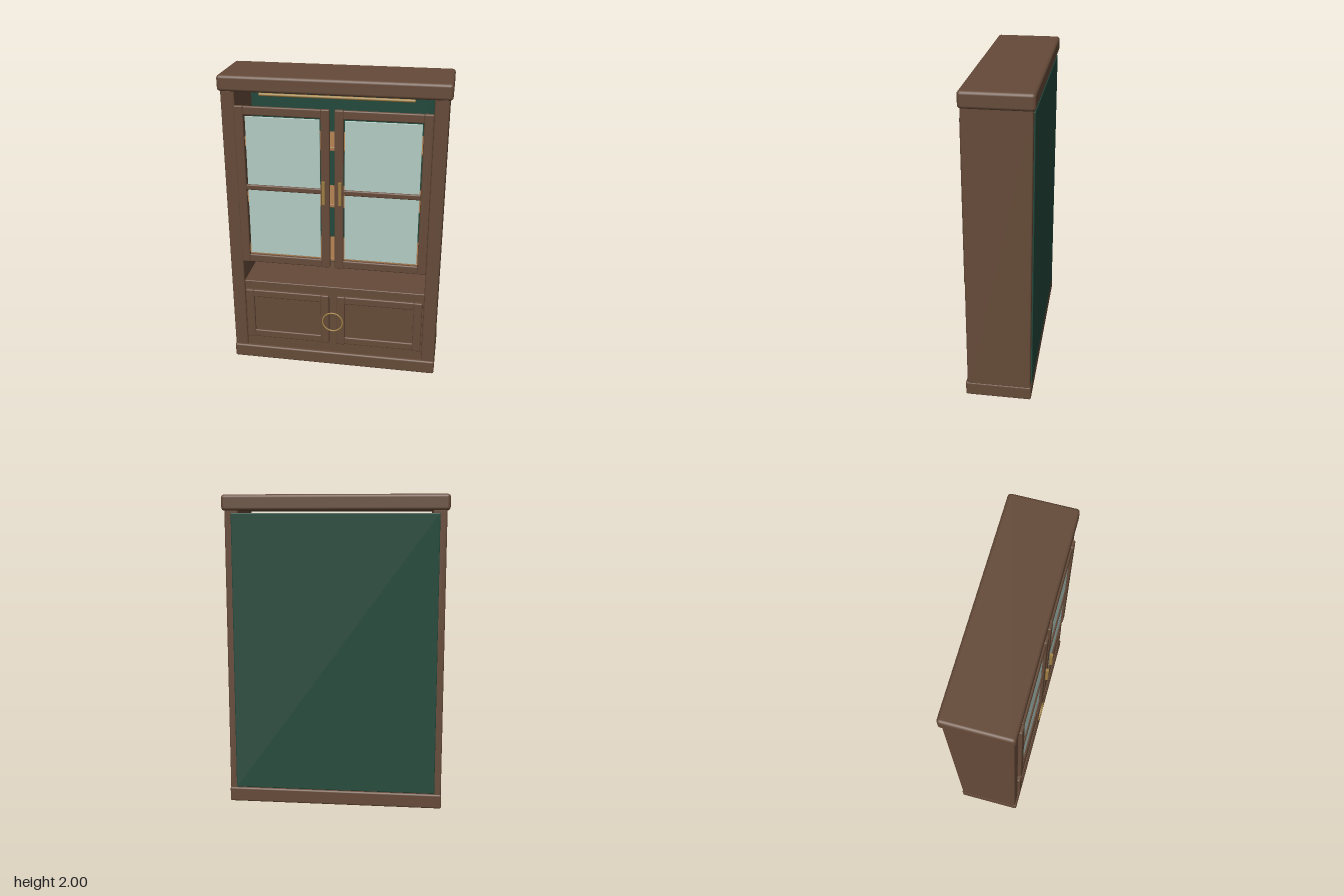
import * as THREE from 'three';
import { RoundedBoxGeometry } from 'three/addons/geometries/RoundedBoxGeometry.js';

const flat = (name, color) => {
  const m = new THREE.MeshStandardMaterial({ color });
  m.name = name;
  return m;
};

export function createModel() {
  const walnut = flat('walnut', 0x654a38);
  const green = flat('dark green', 0x23483b);
  const glass = flat('pale glass', 0xb2cbc2);
  const brass = flat('brass', 0xa08044);
  const copper = flat('copper wood', 0xa8784c);

  const cabinet = new THREE.Group();
  cabinet.name = 'displayCabinet';

  // Soft-edged box given by its extents on each axis
  function box(parent, name, material, [x0, x1], [y0, y1], [z0, z1], radius = 0.008) {
    const w = x1 - x0, h = y1 - y0, d = z1 - z0;
    const r = Math.min(radius, 0.45 * Math.min(w, h, d));
    const mesh = new THREE.Mesh(new RoundedBoxGeometry(w, h, d, 2, r), material);
    mesh.position.set((x0 + x1) / 2, (y0 + y1) / 2, (z0 + z1) / 2);
    mesh.name = name;
    parent.add(mesh);
    return mesh;
  }
  // Extent along x, mirrored for the right-hand side
  const span = (side, a, b) => (side > 0 ? [a, b] : [-b, -a]);

  // Carcass
  box(cabinet, 'cornice', walnut, [-0.71, 0.71], [1.9, 2], [-0.23, 0.195], 0.02);
  box(cabinet, 'plinth', walnut, [-0.695, 0.695], [0, 0.095], [-0.222, 0.195], 0.012);
  box(cabinet, 'backPanel', green, [-0.65, 0.65], [0.1, 1.885], [-0.224, -0.195], 0.006);
  box(cabinet, 'lowerCase', walnut, [-0.607, 0.607], [0.09, 0.6], [-0.196, 0.172], 0.006);

  // Interior shelves and the rail under the cornice
  for (const y of [0.785, 1.17, 1.55]) {
    box(cabinet, 'shelf', copper, [-0.606, 0.606], [y - 0.012, y + 0.012], [-0.196, 0.13], 0.004);
  }
  const rail = new THREE.Mesh(new THREE.CylinderGeometry(0.01, 0.01, 0.97, 16), brass);
  rail.rotation.z = Math.PI / 2;
  rail.position.set(0, 1.855, 0.05);
  rail.name = 'topRail';
  cabinet.add(rail);

  for (const side of [-1, 1]) {
    const label = side > 0 ? 'left' : 'right';
    box(cabinet, label + 'SidePanel', walnut, span(side, 0.605, 0.692), [0.04, 1.91], [-0.216, 0.184], 0.01);

    // Glazed upper door
    const upper = new THREE.Group();
    upper.name = label + 'GlassDoor';
    cabinet.add(upper);
    for (const [a, b] of [[0.015, 0.071], [0.55, 0.607]]) {
      box(upper, 'stile', walnut, span(side, a, b), [0.76, 1.82], [0.178, 0.205]);
    }
    for (const [y0, y1] of [[0.76, 0.815], [1.272, 1.308], [1.762, 1.818]]) {
      box(upper, 'doorRail', walnut, span(side, 0.066, 0.555), [y0, y1], [0.178, 0.2]);
    }
    box(upper, 'glassPane', glass, span(side, 0.077, 0.543), [0.825, 1.753], [0.182, 0.19], 0.003);

    // Upright handle
    const handle = new THREE.Mesh(new THREE.CylinderGeometry(0.011, 0.011, 0.15, 16), brass);
    handle.position.set(side * 0.052, 1.29, 0.22);
    handle.name = 'handle';
    upper.add(handle);

    // Panelled lower door
    const lower = new THREE.Group();
    lower.name = label + 'PanelDoor';
    cabinet.add(lower);
    for (const [a, b] of [[0.026, 0.082], [0.54, 0.596]]) {
      box(lower, 'stile', walnut, span(side, a, b), [0.17, 0.542], [0.165, 0.197]);
    }
    for (const [y0, y1] of [[0.172, 0.226], [0.486, 0.54]]) {
      box(lower, 'doorRail', walnut, span(side, 0.078, 0.545), [y0, y1], [0.165, 0.192]);
    }
    box(lower, 'doorPanel', walnut, span(side, 0.08, 0.543), [0.22, 0.49], [0.16, 0.182], 0.004);
  }

  // Ring pull shared by the lower doors
  const ring = new THREE.Mesh(new THREE.TorusGeometry(0.068, 0.005, 10, 48), brass);
  ring.position.set(0, 0.347, 0.201);
  ring.name = 'ringPull';
  cabinet.add(ring);

  return cabinet;
}
